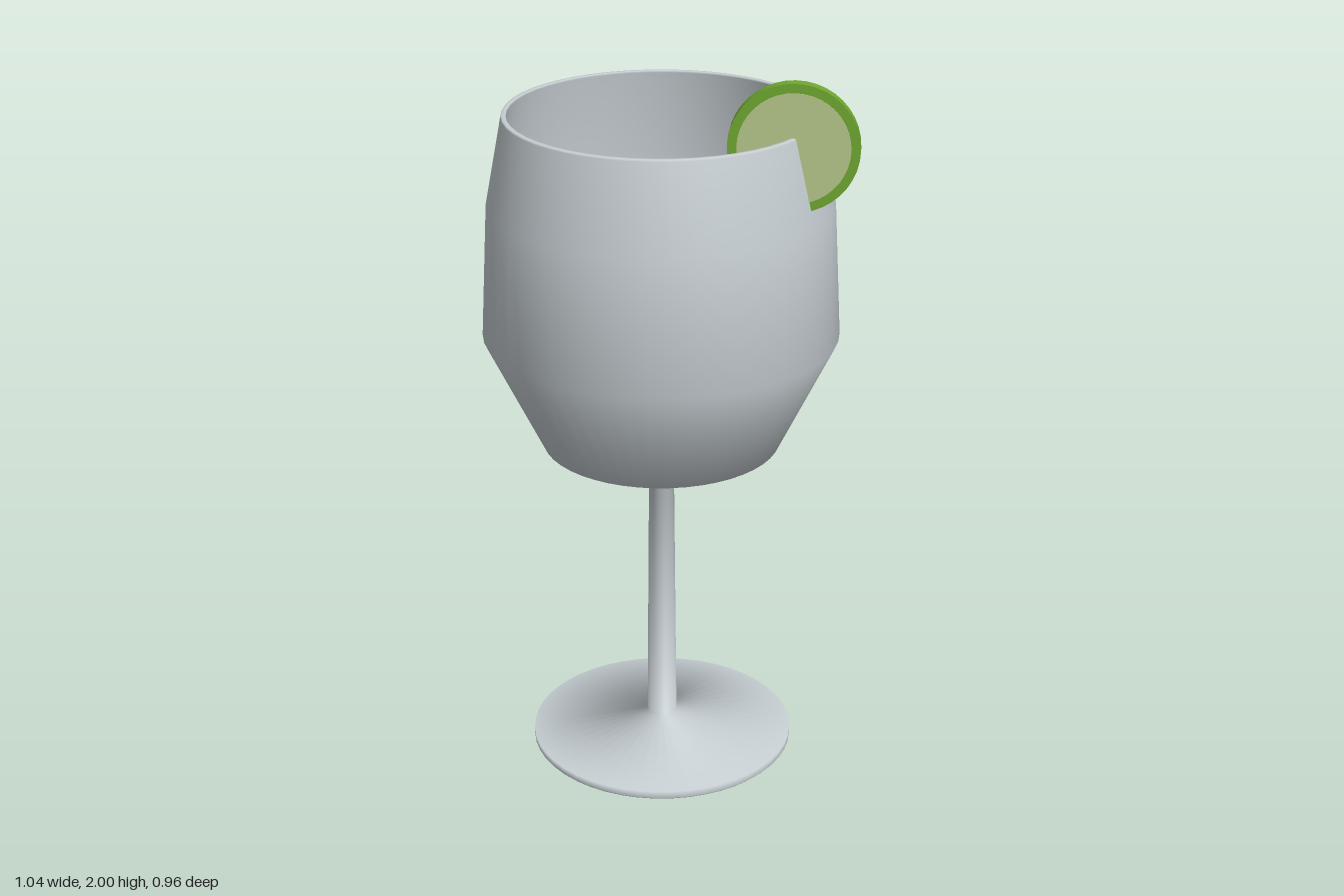
import * as THREE from 'three';
import { RoundedBoxGeometry } from 'three/addons/geometries/RoundedBoxGeometry.js';

const mat = (name, color, side = THREE.FrontSide) => {
  const m = new THREE.MeshStandardMaterial({ color, side });
  m.name = name;
  return m;
};

const lathe = (profile) =>
  new THREE.LatheGeometry(profile.map(([r, y]) => new THREE.Vector2(r, y)), 48);

export function createModel() {
  const glassMat = mat('clear glass', 0xc8d0d4, THREE.DoubleSide);
  const liquidMat = mat('pale lime drink', 0xd2dab2);
  const iceMat = mat('ice', 0xcacdd4);
  const peelMat = mat('lime peel', 0x6fa830);
  const fleshMat = mat('lime flesh', 0xb6c88a);
  const mintMat = mat('mint green', 0x338a3a);

  const model = new THREE.Group();
  model.name = 'cocktailGlass';

  const add = (parent, name, geometry, material) => {
    const mesh = new THREE.Mesh(geometry, material);
    mesh.name = name;
    parent.add(mesh);
    return mesh;
  };

  // Drink stands a little left of centre, the lime slice balances it
  const drink = new THREE.Group();
  drink.name = 'drink';
  drink.position.x = -0.04;
  model.add(drink);

  // Foot, stem and thin-walled bowl in one turned profile
  add(drink, 'glass', lathe([
    [0, 0], [0.365, 0], [0.37, 0.005], [0.37, 0.025],
    [0.042, 0.075], [0.035, 0.795],
    [0.325, 0.935], [0.48, 1.255], [0.46, 1.62], [0.415, 1.855],
    [0.413, 1.86], [0.402, 1.86],
    [0.4, 1.855], [0.444, 1.62], [0.464, 1.257], [0.313, 0.947], [0, 0.815],
  ]), glassMat);

  // Liquid filling the bowl, with a flat surface
  const level = 1.4;
  add(drink, 'liquid', lathe([
    [0, 0.825], [0.308, 0.952], [0.46, 1.258], [0.452, level - 0.003], [0.447, level], [0, level],
  ]), liquidMat);

  // Floating ice cube
  const ice = add(model, 'iceCube', new RoundedBoxGeometry(0.25, 0.25, 0.25, 4, 0.045), iceMat);
  ice.position.set(-0.105, level - 0.01, -0.03);
  ice.rotation.set(0.18, -0.52, 0.12);

  // Mint sprig: flattened ellipsoid leaves [x, y, z, half width, half length, turn, tilt]
  const mint = new THREE.Group();
  mint.name = 'mintSprig';
  model.add(mint);
  const leaves = [
    [-0.12, 0.145, -0.01, 0.043, 0.057, 1.75, 0.25],
    [-0.012, 0.16, -0.062, 0.042, 0.08, 0.3, -0.3],
    [0.055, 0.13, 0.0, 0.042, 0.048, -1.2, 0.3],
    [-0.048, 0.145, 0.064, 0.045, 0.064, 0.1, 0.4],
  ];
  leaves.forEach(([x, y, z, w, l, turn, tilt], i) => {
    const leaf = add(mint, `mintLeaf${i + 1}`, new THREE.SphereGeometry(1, 20, 12), mintMat);
    leaf.scale.set(w, 0.018, l);
    leaf.position.set(x, level + y, z);
    leaf.rotation.set(tilt, turn, 0, 'YXZ');
  });

  // Lime wheel hung on the rim
  const lime = new THREE.Group();
  lime.name = 'limeSlice';
  lime.position.set(0.36, 1.832, 0);
  lime.rotation.y = 0.49;
  model.add(lime);
  const peel = add(lime, 'limePeel', new THREE.CylinderGeometry(0.168, 0.168, 0.034, 40), peelMat);
  const flesh = add(lime, 'limeFlesh', new THREE.CylinderGeometry(0.144, 0.144, 0.038, 40), fleshMat);
  peel.rotation.x = flesh.rotation.x = Math.PI / 2;

  return model;
}
